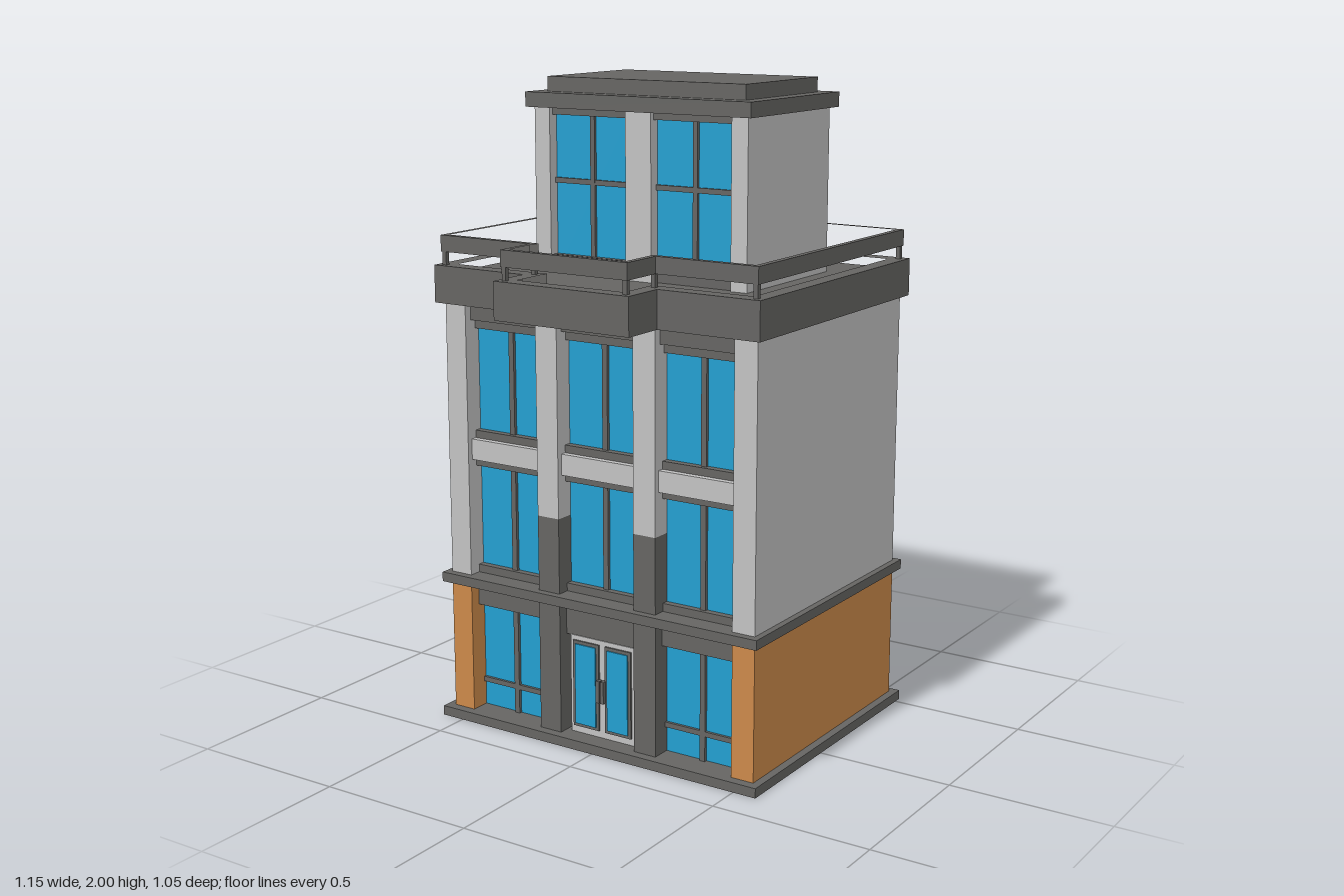
import * as THREE from 'three';

const paint = (name, color) => {
  const m = new THREE.MeshStandardMaterial({ color });
  m.name = name;
  return m;
};

export function createModel() {
  const root = new THREE.Group();
  root.name = 'building';
  const dark = paint('dark trim', 0x656462);
  const grey = paint('light wall', 0xc2c2c2);
  const orange = paint('orange wall', 0xcb894a);
  const glass = paint('blue glass', 0x239fd0);

  // Box given by its extents on each axis
  function box(name, mat, x0, x1, y0, y1, z0, z1) {
    const mesh = new THREE.Mesh(new THREE.BoxGeometry(x1 - x0, y1 - y0, z1 - z0), mat);
    mesh.position.set((x0 + x1) / 2, (y0 + y1) / 2, (z0 + z1) / 2);
    mesh.name = name;
    root.add(mesh);
    return mesh;
  }
  // The same box on both sides of x = 0
  function pair(name, mat, x0, x1, ...rest) {
    box(name + 'Left', mat, x0, x1, ...rest);
    box(name + 'Right', mat, -x1, -x0, ...rest);
  }

  // Roof outline with the front bay, inset by d
  function outline(d) {
    const x = 0.57 - d, back = -0.52 + d, front = 0.385 - d, bx = 0.235 - d, bay = 0.525 - d;
    return [[-x, back], [x, back], [x, front], [bx, front], [bx, bay], [-bx, bay], [-bx, front], [-x, front]]
      .map(([px, pz]) => new THREE.Vector2(px, -pz));
  }
  function slab(name, outer, inner, y0, y1) {
    const shape = new THREE.Shape(outline(outer));
    if (inner) shape.holes.push(new THREE.Path(outline(inner)));
    const geo = new THREE.ExtrudeGeometry(shape, { depth: y1 - y0, bevelEnabled: false });
    geo.rotateX(-Math.PI / 2);
    const mesh = new THREE.Mesh(geo, dark);
    mesh.position.y = y0;
    mesh.name = name;
    root.add(mesh);
  }

  // Base and side walls
  box('base', dark, -0.575, 0.575, 0, 0.03, -0.525, 0.39);
  pair('lowerSideWall', orange, 0.475, 0.55, 0.03, 0.445, -0.5, 0.36);
  pair('upperSideWall', grey, 0.475, 0.55, 0.445, 1.33, -0.5, 0.36);

  // Belt course: sides, returning across the whole front
  pair('beltSide', dark, 0.475, 0.57, 0.445, 0.475, -0.52, 0.385);
  box('beltFront', dark, -0.475, 0.475, 0.445, 0.475, 0.28, 0.385);

  // Front pilasters
  pair('pilasterLower', dark, 0.135, 0.212, 0.03, 0.71, 0.28, 0.36);
  pair('pilasterUpper', grey, 0.135, 0.212, 0.71, 1.33, 0.28, 0.36);

  // Front bays
  for (const [a, b] of [[-0.475, -0.212], [-0.135, 0.135], [0.212, 0.475]]) {
    const c = (a + b) / 2, centre = Math.abs(c) < 0.01;
    box('frontGlass', glass, a, b, 0.475, 1.25, 0.29, 0.298);
    box('frontSill', dark, a, b, 0.475, 0.5, 0.28, 0.32);
    box('frontMullion', dark, c - 0.009, c + 0.009, 0.475, 1.25, 0.298, 0.308);
    box('spandrelTrim', dark, a, b, 0.82, 0.932, 0.28, 0.322);
    box('spandrel', grey, a, b, 0.843, 0.908, 0.28, 0.342);
    box('headTrimLower', dark, a, b, 1.25, 1.278, 0.28, 0.315);
    box('headTrimUpper', dark, a, b, 1.278, 1.33, 0.28, 0.335);
    box('groundHeader', dark, a, b, centre ? 0.34 : 0.37, 0.445, 0.28, 0.325);
    if (centre) continue;
    box('groundGlass', glass, a, b, 0.03, 0.37, 0.29, 0.298);
    box('groundMullion', dark, c - 0.009, c + 0.009, 0.03, 0.37, 0.298, 0.308);
    box('groundRail', dark, a, b, 0.108, 0.124, 0.298, 0.307);
  }

  // Entrance
  box('doorSurround', dark, -0.135, 0.135, 0.03, 0.34, 0.28, 0.3);
  box('doorFrame', grey, -0.118, 0.118, 0.03, 0.342, 0.3, 0.328);
  pair('doorLeaf', dark, 0.011, 0.106, 0.052, 0.328, 0.328, 0.334);
  pair('doorGlass', glass, 0.021, 0.096, 0.062, 0.318, 0.334, 0.338);
  pair('doorHandle', dark, 0.002, 0.014, 0.148, 0.218, 0.328, 0.346);

  // Back: central wall panel with a window bay on each side
  box('backPanel', grey, -0.215, 0.215, 0.03, 1.33, -0.5, -0.42);
  pair('backLowerPanel', dark, 0.215, 0.475, 0.03, 0.445, -0.45, -0.42);
  pair('backGlass', glass, 0.215, 0.475, 0.445, 1.25, -0.44, -0.432);
  pair('backMullion', dark, 0.336, 0.354, 0.445, 1.25, -0.449, -0.44);
  pair('backSpandrel', grey, 0.215, 0.475, 0.845, 0.908, -0.485, -0.43);
  pair('backHeadLower', dark, 0.215, 0.475, 1.25, 1.278, -0.457, -0.42);
  pair('backHeadUpper', dark, 0.215, 0.475, 1.278, 1.33, -0.477, -0.42);

  // Cornice with sunken roof floor, and the railing
  slab('roofFloor', 0, 0, 1.33, 1.41);
  slab('corniceRim', 0, 0.05, 1.41, 1.445);
  slab('railing', 0.015, 0.034, 1.485, 1.535);
  for (const [x, z] of [[0.545, -0.495], [0.545, 0.36], [0.21, 0.36], [0.21, 0.5]]) {
    pair('railPost', dark, x - 0.007, x + 0.007, 1.445, 1.485, z - 0.007, z + 0.007);
  }

  // Rooftop tower walls
  pair('towerSideWall', grey, 0.32, 0.375, 1.41, 1.91, -0.345, 0.13);

  // Tower windows, front and back
  for (const [face, s] of [[0.13, 1], [-0.345, -1]]) {
    const layer = (d0, d1) => [face - s * d0, face - s * d1].sort((p, q) => p - q);
    box('towerPier', grey, -0.045, 0.045, 1.41, 1.91, ...layer(0, 0.06));
    pair('towerGlass', glass, 0.045, 0.32, 1.41, 1.91, ...layer(0.035, 0.043));
    pair('towerMullion', dark, 0.174, 0.19, 1.41, 1.89, ...layer(0.026, 0.035));
    pair('towerTransom', dark, 0.045, 0.32, 1.682, 1.698, ...layer(0.027, 0.035));
    pair('towerSill', dark, 0.045, 0.32, 1.41, 1.465, ...layer(0.015, 0.05));
    pair('towerHead', dark, 0.045, 0.32, 1.888, 1.91, ...layer(0.015, 0.05));
  }

  // Tower roof
  box('towerCornice', dark, -0.395, 0.395, 1.91, 1.955, -0.367, 0.15);
  box('towerCap', dark, -0.348, 0.348, 1.955, 2, -0.317, 0.1);

  return root;
}
